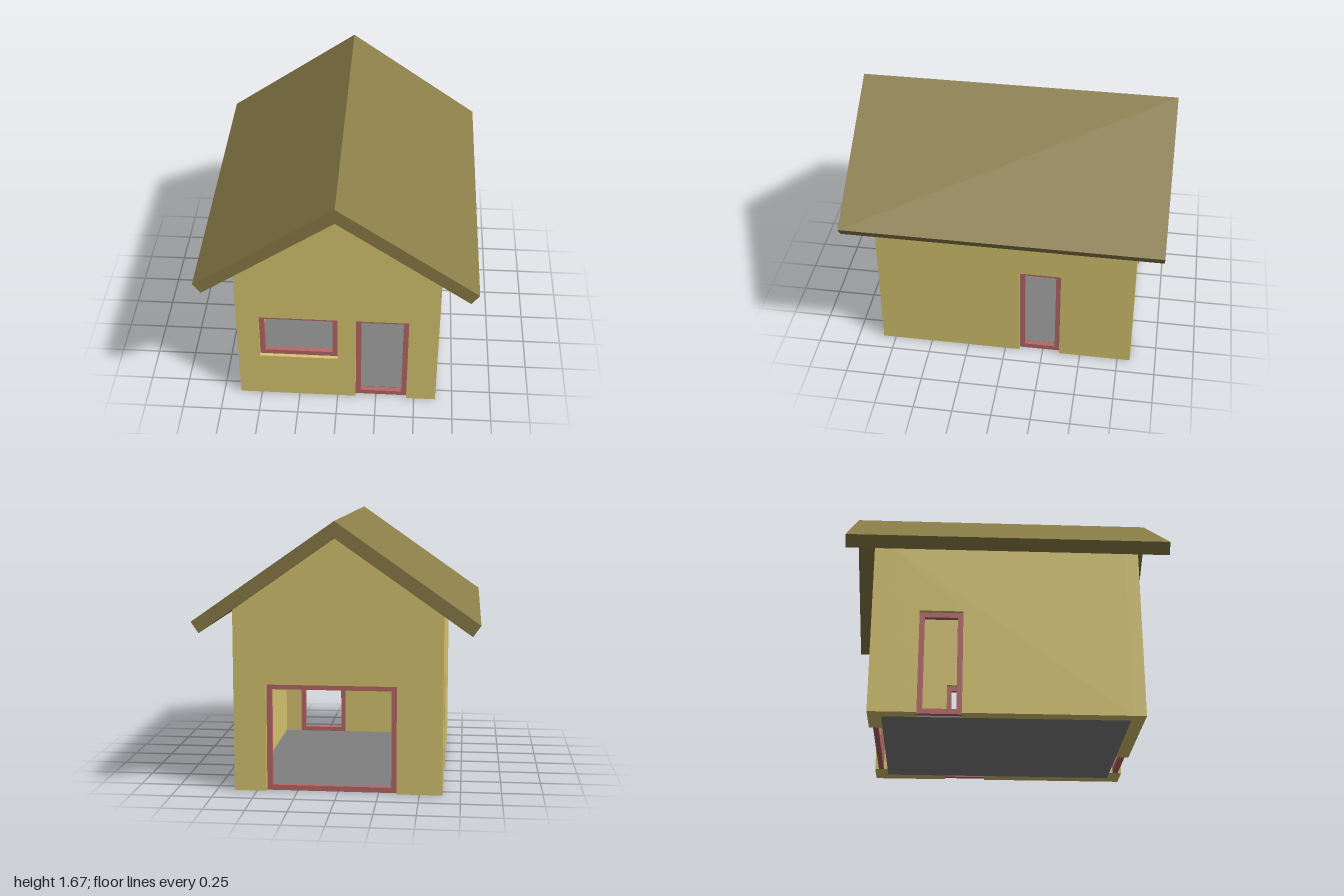
import * as THREE from 'three';

const W = 0.64, D = 0.833, T = 0.083;        // half width, half depth, wall thickness
const APEX = 1.57, SLOPE = 0.7;              // underside of the roof
const FRAME = 0.033;
const underRoof = (x) => APEX - SLOPE * Math.abs(x);

const mat = (color) => new THREE.MeshStandardMaterial({ color, flatShading: true });
const wallMat = mat(0xd8c670);
const roofMat = mat(0x8a7d48);
const frameMat = mat(0xb96868);
const floorMat = mat(0x808080);

const polygon = (pts) => new THREE.Shape(pts.map(([x, y]) => new THREE.Vector2(x, y)));
const rect = (a, b, y0, y1) => polygon([[a, y0], [b, y0], [b, y1], [a, y1]]);
const extrude = (shape, depth) => new THREE.ExtrudeGeometry(shape, { depth, bevelEnabled: false });

export function createModel() {
  const house = new THREE.Group();
  house.name = 'house';

  const add = (name, geometry, material) => {
    const mesh = new THREE.Mesh(geometry, material);
    mesh.name = name;
    house.add(mesh);
    return mesh;
  };

  // A wall drawn in (u, y); doors notch its base, windows are holes,
  // and each opening gets a recessed frame. place() moves it to its side.
  function addWall(name, half, top, openings, place) {
    const base = [[-half, 0]];
    for (const { a, b, y0, y1 } of openings) {
      if (y0 === 0) base.push([a, 0], [a, y1], [b, y1], [b, 0]);
    }
    base.push([half, 0]);
    const shape = polygon([...base, ...top]);
    for (const { a, b, y0, y1 } of openings) {
      if (y0 > 0) shape.holes.push(rect(a, b, y0, y1));
    }
    const wall = add(name, place(extrude(shape, T)), wallMat);

    for (const o of openings) {
      const outline = rect(o.a, o.b, o.y0, o.y1);
      outline.holes.push(rect(o.a + FRAME, o.b - FRAME, o.y0 + FRAME, o.y1 - FRAME));
      const geometry = extrude(outline, FRAME).translate(0, 0, (T - FRAME) / 2);
      add(o.name, place(geometry), frameMat);
    }
    return wall;
  }

  // Gable walls
  const gable = [[W, underRoof(W)], [0, APEX], [-W, underRoof(W)]];
  addWall('frontWall', W, gable, [
    { name: 'frontWindowFrame', a: -0.5, b: 0, y0: 0.333, y1: 0.667 },
    { name: 'frontDoorFrame', a: 0.117, b: 0.45, y0: 0, y1: 0.667 },
  ], (g) => g.translate(0, 0, D - T));
  addWall('backWall', W, gable, [
    { name: 'backDoorFrame', a: -0.36, b: 0.44, y0: 0, y1: 0.667 },
  ], (g) => g.translate(0, 0, -D));

  // Side walls between the gables, tops cut to the roof slope
  const inner = D - T;
  const flat = [[inner, 1.12], [-inner, 1.12]];
  const sides = [
    ['right', W, { a: -0.362, b: -0.095 }],
    ['left', -W + T, { a: -0.54, b: -0.27 }],
  ];
  for (const [side, x, span] of sides) {
    const wall = addWall(side + 'Wall', inner, flat,
      [{ name: side + 'DoorFrame', ...span, y0: 0, y1: 0.667 }],
      (g) => g.rotateY(-Math.PI / 2).translate(x, 0, 0));
    const p = wall.geometry.attributes.position;
    for (let i = 0; i < p.count; i++) {
      if (p.getY(i) > 1) p.setY(i, underRoof(p.getX(i)));
    }
    wall.geometry.computeVertexNormals();
  }

  // Floor slab
  const floor = new THREE.BoxGeometry(2 * (W - T), 0.01, 2 * inner);
  add('floor', floor.translate(0, 0.005, 0), floorMat);

  // Pitched roof with overhanging eaves
  const chevron = polygon([
    [0, 1.67], [-0.857, 1.07], [-0.81, 1.003], [0, APEX], [0.81, 1.003], [0.857, 1.07],
  ]);
  add('roof', extrude(chevron, 2).translate(0, 0, -1), roofMat);

  return house;
}
